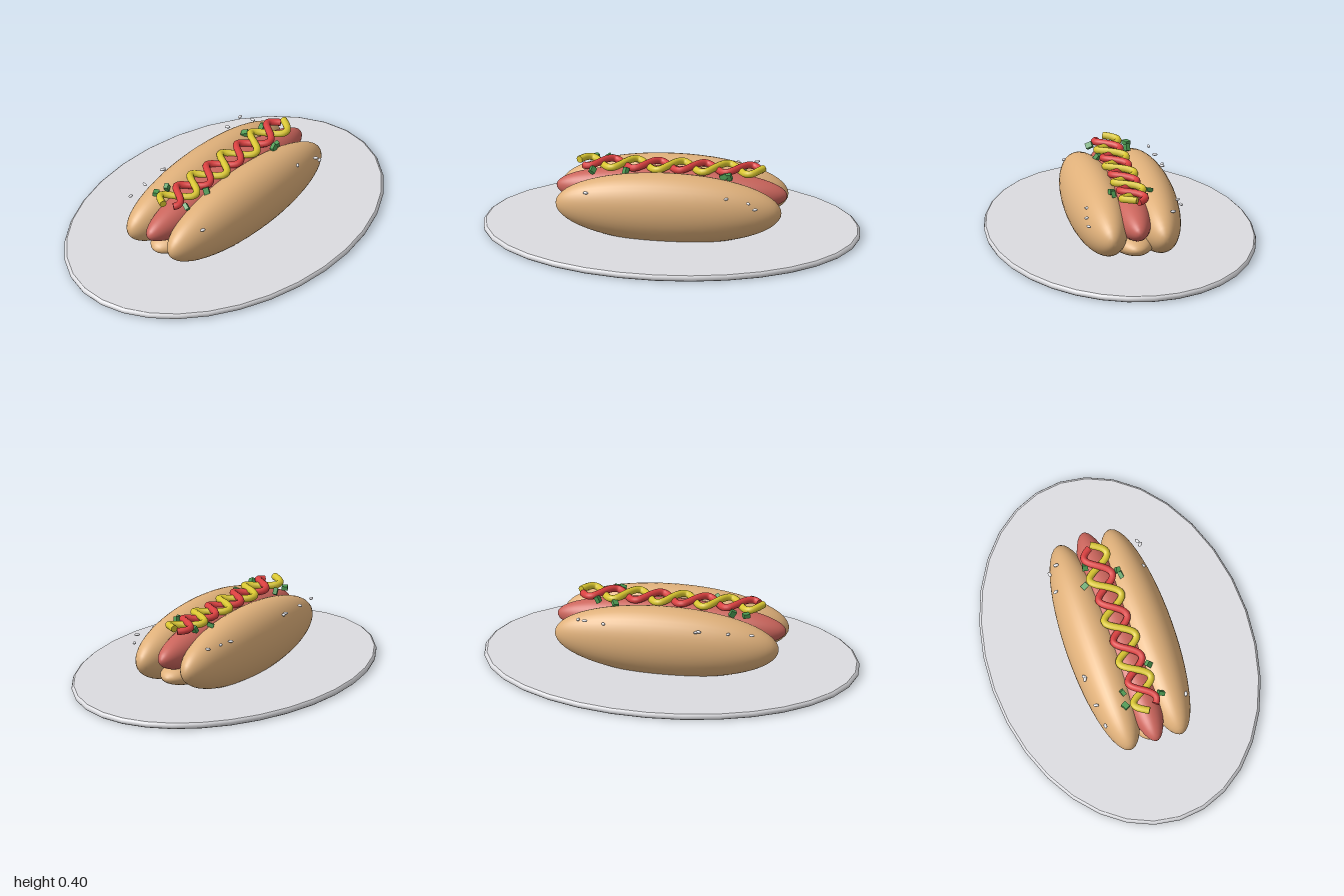
import * as THREE from 'three';

const material = (name, color) => {
  const m = new THREE.MeshStandardMaterial({ color });
  m.name = name;
  return m;
};

export function createModel() {
  const root = new THREE.Group();
  root.name = 'hotDogOnPlate';
  const plateGrey = material('plateGrey', 0xdcdce0);
  const bread = material('bread', 0xdfb07a);
  const meat = material('meat', 0xcb655c);
  const mustardYellow = material('mustardYellow', 0xd9c630);
  const ketchupRed = material('ketchupRed', 0xdb4040);
  const relishGreen = material('relishGreen', 0x4c9a52);
  const seedWhite = material('seedWhite', 0xe6e6ea);

  const add = (name, geometry, mat, position = [0, 0, 0], scale = [1, 1, 1]) => {
    const mesh = new THREE.Mesh(geometry, mat);
    mesh.name = name;
    mesh.position.set(...position);
    mesh.scale.set(...scale);
    root.add(mesh);
    return mesh;
  };

  // Oval plate with a rounded rim
  const rim = [[0, 0], [0.985, 0], [0.995, 0.006], [1, 0.016], [0.995, 0.027], [0.985, 0.033]]
    .map(([x, y]) => new THREE.Vector2(x, y));
  add('plateBody', new THREE.LatheGeometry(rim, 32), plateGrey, [0, 0, 0], [1, 1, 0.707]);
  const plateTop = new THREE.CircleGeometry(0.985, 32).rotateX(-Math.PI / 2);
  add('plateTop', plateTop, plateGrey, [0, 0.033, 0], [1, 1, 0.707]);

  // Bun halves, the hinge between them and the sausage; poles lie along x
  const ball = new THREE.SphereGeometry(1, 40, 28).rotateZ(Math.PI / 2);
  add('bunFront', ball, bread, [0, 0.19, 0.14], [0.6, 0.19, 0.15]);
  add('bunBack', ball, bread, [0, 0.19, -0.14], [0.6, 0.19, 0.15]);
  add('bunHinge', ball, bread, [0, 0.12, 0], [0.56, 0.1, 0.17]);
  add('sausage', ball, meat, [0, 0.235, 0], [0.613, 0.13, 0.125]);

  // Two interwoven sauce squiggles
  const squiggle = (name, mat, x0, x1, amplitude, lift) => {
    const points = [];
    for (let i = 0; i <= 72; i++) {
      const x = x0 + (x1 - x0) * i / 72;
      const phase = (x + 0.492) / 0.244 * Math.PI * 2;
      points.push(new THREE.Vector3(x, 0.374 + lift * Math.cos(phase), amplitude * Math.sin(phase)));
    }
    const path = new THREE.CatmullRomCurve3(points);
    add(name, new THREE.TubeGeometry(path, 160, 0.019, 10), mat);
    // Closed tube ends
    for (const t of [0, 1]) {
      const cap = add(name + 'End', new THREE.CircleGeometry(0.019, 10), mat);
      const end = path.getPointAt(t);
      const outward = path.getTangentAt(t).multiplyScalar(t ? 1 : -1);
      cap.position.copy(end);
      cap.lookAt(end.clone().add(outward));
    }
  };
  squiggle('mustard', mustardYellow, -0.492, 0.486, -0.068, 0.008);
  squiggle('ketchup', ketchupRed, -0.46, 0.475, 0.058, -0.008);

  // Relish cubes along both sides of the sausage
  const cube = new THREE.BoxGeometry(0.036, 0.022, 0.03);
  [[-0.42, -0.11], [-0.345, -0.1], [-0.41, 0.09], [-0.235, 0.08],
    [0.285, -0.1], [0.285, 0.1], [0.315, 0.092], [0.385, -0.065]].forEach(([x, z], i) => {
    add('relish', cube, relishGreen, [x, 0.362, z]).rotation.set(i * 0.9, i * 1.7 + 0.5, i * 0.6);
  });

  // Sesame seeds scattered on the bun
  const seed = new THREE.SphereGeometry(1, 10, 8);
  [[-0.475, 0.31, -0.24], [-0.35, 0.31, -0.25], [-0.195, 0.315, -0.26], [-0.18, 0.31, -0.258],
    [0.32, 0.31, -0.25], [0.42, 0.32, -0.25], [0.465, 0.3, -0.2],
    [-0.43, 0.284, 0.222], [0.32, 0.294, 0.234], [0.44, 0.285, 0.26], [0.475, 0.25, 0.255]]
    .forEach((position, i) => {
      add('sesameSeed', seed, seedWhite, position, [0.015, 0.007, 0.009]).rotation.y = i * 1.3;
    });
  return root;
}
